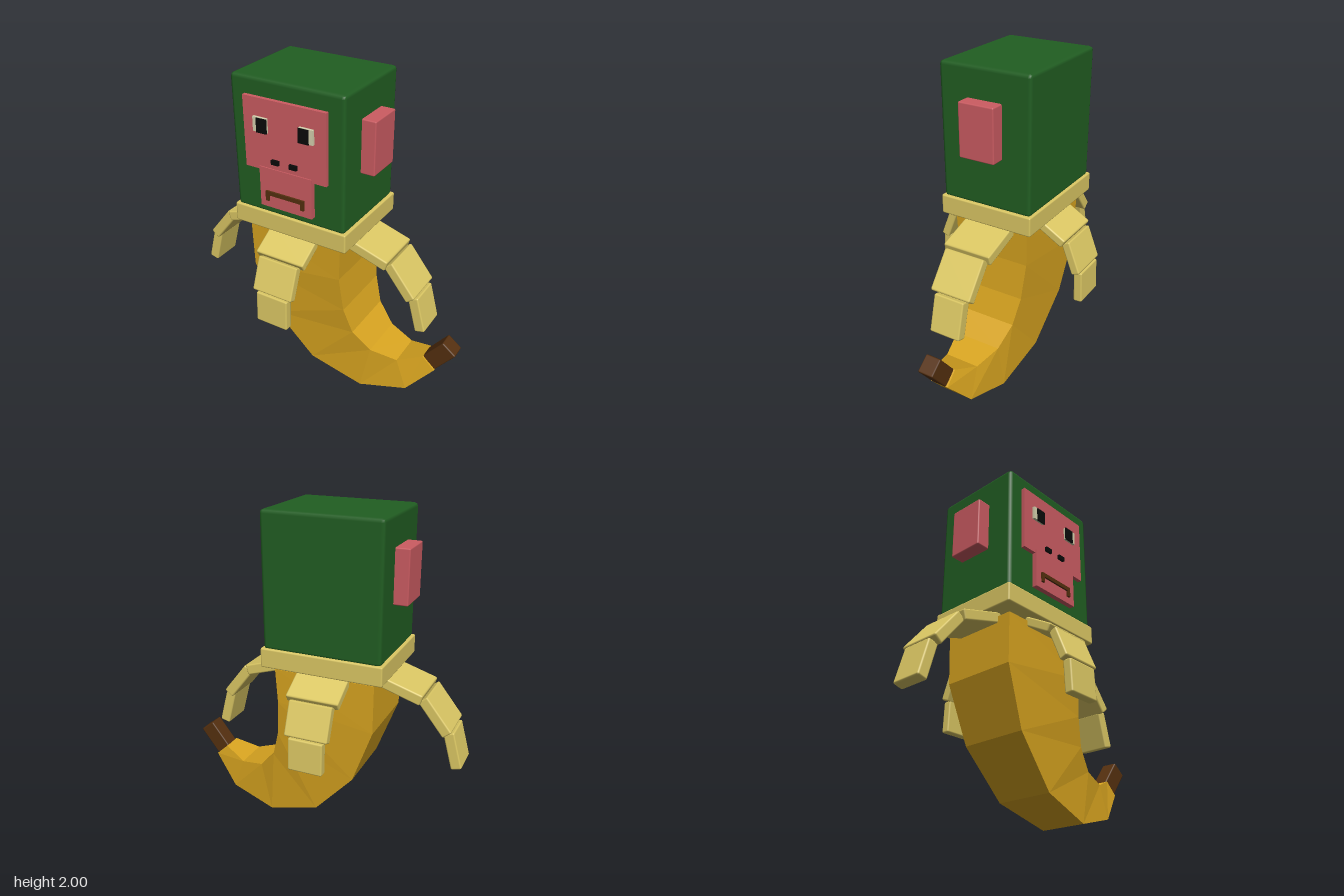
import * as THREE from 'three';
import { RoundedBoxGeometry } from 'three/addons/geometries/RoundedBoxGeometry.js';

const CX = -0.0975; // centre line of head, collar and peel

const mat = (name, color) => {
  const m = new THREE.MeshStandardMaterial({ color });
  m.name = name;
  return m;
};

export function createModel() {
  const green = mat('green', 0x215e22);
  const pink = mat('pink', 0xcc5c62);
  const cream = mat('cream', 0xdcc864);
  const yellow = mat('banana yellow', 0xd9a520);
  const brown = mat('brown', 0x55300f);
  const black = mat('black', 0x0a0a0a);
  const eyeWhite = mat('eye white', 0xd8d3b0);

  const model = new THREE.Group();
  model.name = 'bananaMonkey';

  const add = (name, geometry, material, parent = model) => {
    const mesh = new THREE.Mesh(geometry, material);
    mesh.name = name;
    parent.add(mesh);
    return mesh;
  };
  // Box given by its limits, with an optional chamfer
  const box = (name, material, [x0, x1], [y0, y1], [z0, z1], bevel = 0) => {
    const s = [x1 - x0, y1 - y0, z1 - z0];
    const g = bevel ? new RoundedBoxGeometry(...s, 1, bevel) : new THREE.BoxGeometry(...s);
    const mesh = add(name, g, material);
    mesh.position.set((x0 + x1) / 2, (y0 + y1) / 2, (z0 + z1) / 2);
    return mesh;
  };

  // Head, collar and ears
  box('head', green, [-0.46, 0.265], [1.19, 2], [-0.29, 0.29], 0.022);
  box('collar', cream, [-0.475, 0.28], [1.08, 1.2], [-0.302, 0.302], 0.01);
  box('rightEar', pink, [-0.545, -0.44], [1.5, 1.82], [-0.113, 0.113], 0.008);
  box('leftEar', pink, [0.245, 0.35], [1.5, 1.82], [-0.113, 0.113], 0.008);

  // Face
  box('face', pink, [-0.362, 0.168], [1.48, 1.9], [0.28, 0.315]);
  box('muzzle', pink, [-0.267, 0.077], [1.255, 1.5], [0.28, 0.322]);
  for (const side of [-1, 1]) {
    const span = (a, b) => [CX + side * a, CX + side * b].sort((p, q) => p - q);
    box('eye', eyeWhite, span(0.103, 0.193), [1.71, 1.795], [0.31, 0.33]);
    box('pupil', black, span(0.102, 0.168), [1.708, 1.793], [0.327, 0.335]);
    box('nostril', black, span(0.035, 0.083), [1.533, 1.56], [0.312, 0.331]);
    box('mouthCorner', brown, span(0.106, 0.128), [1.298, 1.34], [0.318, 0.333]);
  }
  box('mouth', brown, [CX - 0.128, CX + 0.128], [1.335, 1.36], [0.318, 0.333]);

  // Peel strips: three hinged slabs running outward and down
  const peel = (name, angle, points, widths, thick) => {
    const strip = new THREE.Group();
    strip.name = name;
    strip.position.x = CX;
    strip.rotation.y = angle;
    model.add(strip);
    widths.forEach((w, i) => {
      const [r0, y0] = points[i], [r1, y1] = points[i + 1];
      const slab = add('peelSlab', new RoundedBoxGeometry(Math.hypot(r1 - r0, y1 - y0), thick, w, 1, 0.01), cream, strip);
      slab.position.set((r0 + r1) / 2, (y0 + y1) / 2, 0);
      slab.rotation.z = Math.atan2(y1 - y0, r1 - r0);
    });
  };
  const sidePath = [[0.28, 1.06], [0.562, 0.972], [0.718, 0.775], [0.778, 0.552]];
  const frontPath = [[0.22, 1.065], [0.4, 0.96], [0.477, 0.765], [0.486, 0.565]];
  peel('leftPeel', 0, sidePath, [0.31, 0.265, 0.2], 0.066);
  peel('rightPeel', Math.PI, sidePath, [0.31, 0.265, 0.2], 0.066);
  peel('frontPeel', -Math.PI / 2, frontPath, [0.325, 0.268, 0.215], 0.055);
  peel('backPeel', Math.PI / 2, frontPath, [0.325, 0.268, 0.215], 0.055);

  // Banana: four-sided sections [outer x, outer y, inner x, inner y, half depth]
  const sections = [
    [-0.41, 1.055, 0.215, 1.055, 0.245],
    [-0.405, 0.75, 0.205, 0.84, 0.238],
    [-0.275, 0.4, 0.225, 0.61, 0.215],
    [-0.02, 0.115, 0.275, 0.44, 0.187],
    [0.32, 0.003, 0.385, 0.32, 0.152],
    [0.62, 0.08, 0.55, 0.28, 0.11],
    [0.78, 0.265, 0.7, 0.34, 0.06],
  ];
  const rings = sections.map(([ox, oy, ix, iy, w]) => [[ox, oy, w], [ix, iy, w], [ix, iy, -w], [ox, oy, -w]]);
  const verts = [];
  const quad = (a, b, c, d) => [a, b, c, a, c, d].forEach((p) => verts.push(...p));
  for (let i = 0; i + 1 < rings.length; i++) {
    for (let k = 0; k < 4; k++) {
      const n = (k + 1) % 4;
      quad(rings[i][k], rings[i + 1][k], rings[i + 1][n], rings[i][n]);
    }
  }
  quad(...rings[0]);
  quad(...[...rings[rings.length - 1]].reverse());
  const banana = new THREE.BufferGeometry();
  banana.setAttribute('position', new THREE.Float32BufferAttribute(verts, 3));
  banana.computeVertexNormals();
  add('banana', banana, yellow);

  // Stem at the tip
  const stem = add('stem', new RoundedBoxGeometry(0.11, 0.2, 0.1, 1, 0.008), brown);
  stem.position.set(0.797, 0.376, 0);
  stem.rotation.z = -0.66;

  return model;
}
